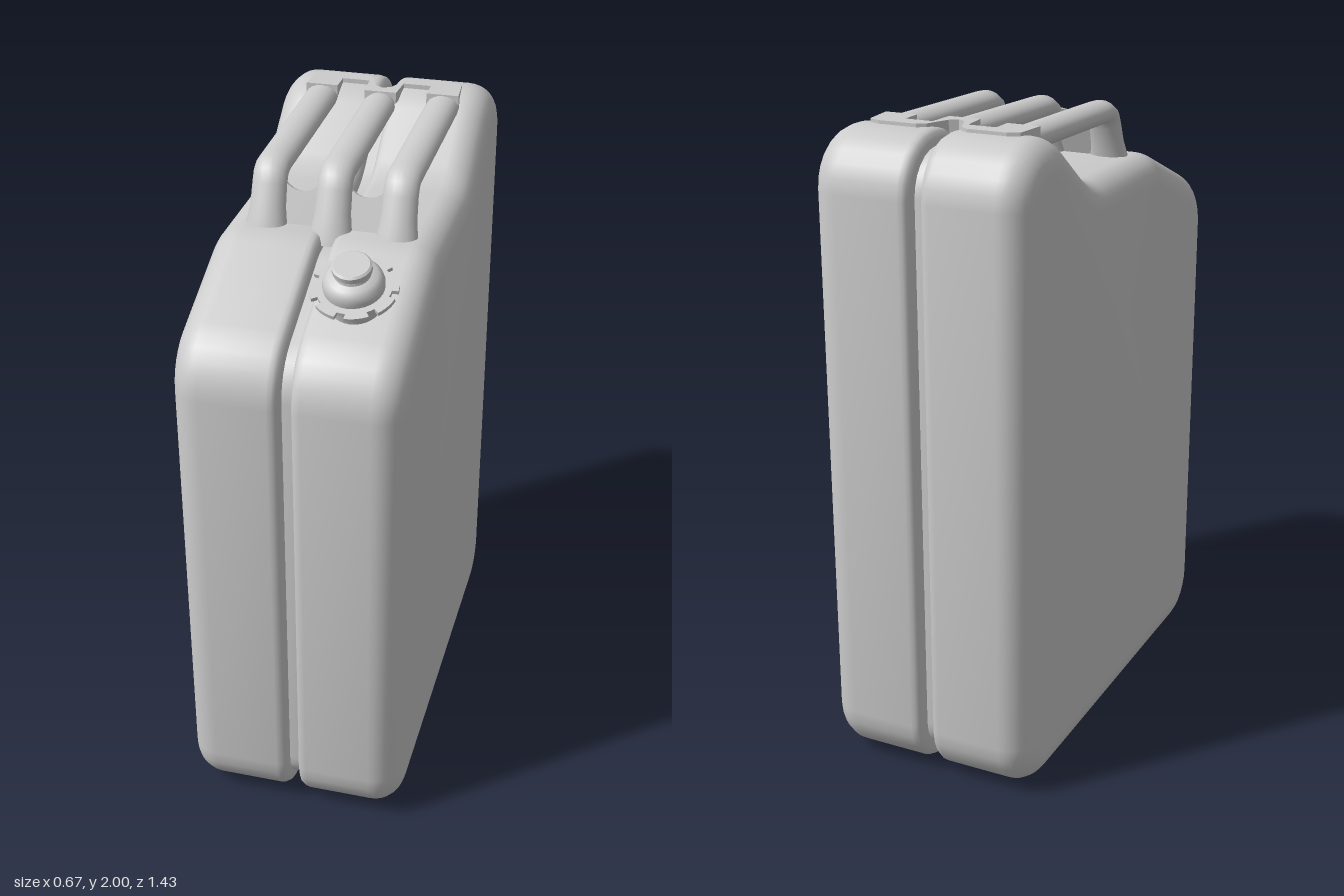
import * as THREE from 'three';
import { toCreasedNormals } from 'three/addons/utils/BufferGeometryUtils.js';

const material = new THREE.MeshStandardMaterial({ color: 0xcccccc });

function part(name, geometry, parent) {
  const mesh = new THREE.Mesh(geometry, material);
  mesh.name = name;
  parent.add(mesh);
  return mesh;
}

// Skin a list of closed rings; caps triangulates the two ends in the (z, y) plane
function loft(rings, capOutline) {
  const n = rings[0].length, last = (rings.length - 1) * n, index = [];
  for (let i = 0; i < rings.length - 1; i++) {
    for (let j = 0; j < n; j++) {
      const a = i * n + j, b = i * n + (j + 1) % n, c = b + n, d = a + n;
      index.push(a, d, c, a, c, b);
    }
  }
  if (capOutline) {
    for (const [a, b, c] of THREE.ShapeUtils.triangulateShape(capOutline, [])) {
      index.push(a, b, c, last + a, last + c, last + b);
    }
  }
  const g = new THREE.BufferGeometry();
  g.setAttribute('position', new THREE.Float32BufferAttribute(rings.flat(2), 3));
  g.setIndex(index);
  return toCreasedNormals(g, 0.7);
}

// Round the corners [z, y, radius] of an outline; each point keeps its outward normal
function roundedOutline(corners, steps = 6) {
  const out = [];
  corners.forEach(([z, y, r], i) => {
    const p = new THREE.Vector2(z, y);
    const a = corners[(i + corners.length - 1) % corners.length];
    const b = corners[(i + 1) % corners.length];
    const u = p.clone().sub(new THREE.Vector2(a[0], a[1])).normalize();
    const v = new THREE.Vector2(b[0], b[1]).sub(p).normalize();
    const turn = Math.atan2(u.cross(v), u.dot(v)), s = Math.sign(turn);
    const start = p.clone().addScaledVector(u, -r * Math.tan(Math.abs(turn) / 2));
    const normal = new THREE.Vector2(u.y, -u.x);
    const centre = start.clone().addScaledVector(normal, -s * r);
    for (let k = 0; k <= steps; k++) {
      const ang = normal.angle() + turn * k / steps;
      const dir = new THREE.Vector2(Math.cos(ang), Math.sin(ang));
      out.push({ p: centre.clone().addScaledVector(dir, s * r), dir });
    }
  });
  return out;
}

// Tank: side outline repeated across the width, inset at the rounded edges and the centre groove
function tankGeometry() {
  const outline = roundedOutline([
    [0.715, 0, 0.17], [0.715, 1.61, 0.2], [0.27, 1.795, 0.2], [-0.2, 1.795, 0.2],
    [-0.46, 1.987, 0.2], [-0.715, 1.987, 0.17], [-0.715, 0, 0.17],
  ]);
  const half = [[0.016, 0.045], [0.018, 0.025], [0.024, 0.01], [0.034, 0.003], [0.048, 0]];
  for (let k = 0; k <= 8; k++) {
    const a = k / 8 * Math.PI / 2;
    half.push([0.247 + 0.09 * Math.sin(a), 0.09 * (1 - Math.cos(a))]);
  }
  const rows = [...half.map(([x, inset]) => [-x, inset]).reverse(), ...half];
  const rings = rows.map(([x, inset]) =>
    outline.map(({ p, dir }) => [x, p.y - dir.y * inset, p.x - dir.x * inset]));
  return loft(rings, outline.map(({ p, dir }) => p.clone().addScaledVector(dir, -0.09)));
}

// Carrying bar: oval sections along a path of [z, y, half width, half thickness]
function barGeometry(x, endZ) {
  const path = [
    [0.2, 1.75, 0.068, 0.046], [0.187, 1.8, 0.06, 0.043], [0.172, 1.84, 0.054, 0.038],
    [0.152, 1.9, 0.052, 0.036], [0.138, 1.927, 0.052, 0.036], [0.115, 1.94, 0.052, 0.036],
    [0.08, 1.942, 0.052, 0.036], [endZ + 0.05, 1.958, 0.052, 0.037],
    [endZ + 0.02, 1.959, 0.044, 0.034], [endZ, 1.959, 0.025, 0.02], [endZ - 0.003, 1.959, 0.001, 0.001],
  ];
  const rings = path.map(([z, y, w, h], i) => {
    const a = path[Math.max(i - 1, 0)], b = path[Math.min(i + 1, path.length - 1)];
    const t = new THREE.Vector2(b[0] - a[0], b[1] - a[1]).normalize();
    return Array.from({ length: 20 }, (_, k) => {
      const ang = k / 20 * Math.PI * 2, up = h * Math.sin(ang);
      return [x + w * Math.cos(ang), y - t.x * up, z + t.y * up];
    });
  });
  return loft(rings);
}

function createHandle() {
  const handle = new THREE.Group();
  handle.name = 'handle';
  part('leftBar', barGeometry(0.195, -0.53), handle);
  part('middleBar', barGeometry(0, -0.43), handle);
  part('rightBar', barGeometry(-0.195, -0.53), handle);

  // Rear plate joining the three bars, notched over the groove
  const side = [
    [0.025, -0.45], [0.055, -0.525], [0.08, -0.54], [0.2, -0.54], [0.235, -0.525],
    [0.245, -0.42], [0.143, -0.42], [0.143, -0.487], [0.056, -0.487], [0.05, -0.4],
  ];
  const plate = new THREE.Shape([
    [0, -0.435], ...side, ...side.map(([x, z]) => [-x, z]).reverse(),
  ].map(([x, z]) => new THREE.Vector2(x, -z)));
  const plateGeometry = new THREE.ExtrudeGeometry(plate, { depth: 0.035, bevelEnabled: false });
  plateGeometry.rotateX(-Math.PI / 2);
  part('rearPlate', plateGeometry, handle).position.y = 1.962;

  // Front webs between the bars, with a dipped top edge
  for (const s of [-1, 1]) {
    const web = new THREE.Shape();
    web.moveTo(-0.06, -0.04);
    web.lineTo(0.06, -0.04);
    web.lineTo(0.06, 0.125);
    web.quadraticCurveTo(0, 0.065, -0.06, 0.125);
    const mesh = part(s > 0 ? 'leftWeb' : 'rightWeb',
      new THREE.ExtrudeGeometry(web, { depth: 0.02, bevelEnabled: false, curveSegments: 8 }), handle);
    mesh.position.set(s * 0.097, 1.79, 0.17);
    mesh.rotation.x = -0.35;
  }
  return handle;
}

function createSpout() {
  const spout = new THREE.Group();
  spout.name = 'spout';
  const lathe = (points) => toCreasedNormals(
    new THREE.LatheGeometry(points.map(([r, y]) => new THREE.Vector2(r, y)), 32), 0.6);
  part('neck', lathe([[0.076, -0.12], [0.076, -0.03], [0.085, -0.02], [0.085, 0]]), spout);
  part('cap', lathe([
    [0.086, 0], [0.087, 0.02], [0.082, 0.037], [0.07, 0.05], [0.052, 0.056],
    [0.049, 0.066], [0.056, 0.07], [0.056, 0.085], [0.05, 0.09], [0, 0.09],
  ]), spout);

  // Locking ring with eight notches
  const ring = new THREE.Shape();
  for (let i = 0; i < 8; i++) {
    const a = i * Math.PI / 4;
    ring.absarc(0, 0, 0.124, a, a + 0.56, false);
    ring.absarc(0, 0, 0.106, a + 0.56, a + Math.PI / 4, false);
  }
  const ringGeometry = new THREE.ExtrudeGeometry(ring, { depth: 0.012, bevelEnabled: false, curveSegments: 5 });
  ringGeometry.rotateX(-Math.PI / 2);
  part('lockingRing', ringGeometry, spout).position.y = -0.006;

  spout.position.set(0.145, 1.77, 0.49);
  spout.rotation.x = 0.33;
  return spout;
}

export function createModel() {
  const can = new THREE.Group();
  can.name = 'fuelCan';
  part('tank', tankGeometry(), can);
  can.add(createHandle(), createSpout());
  return can;
}
